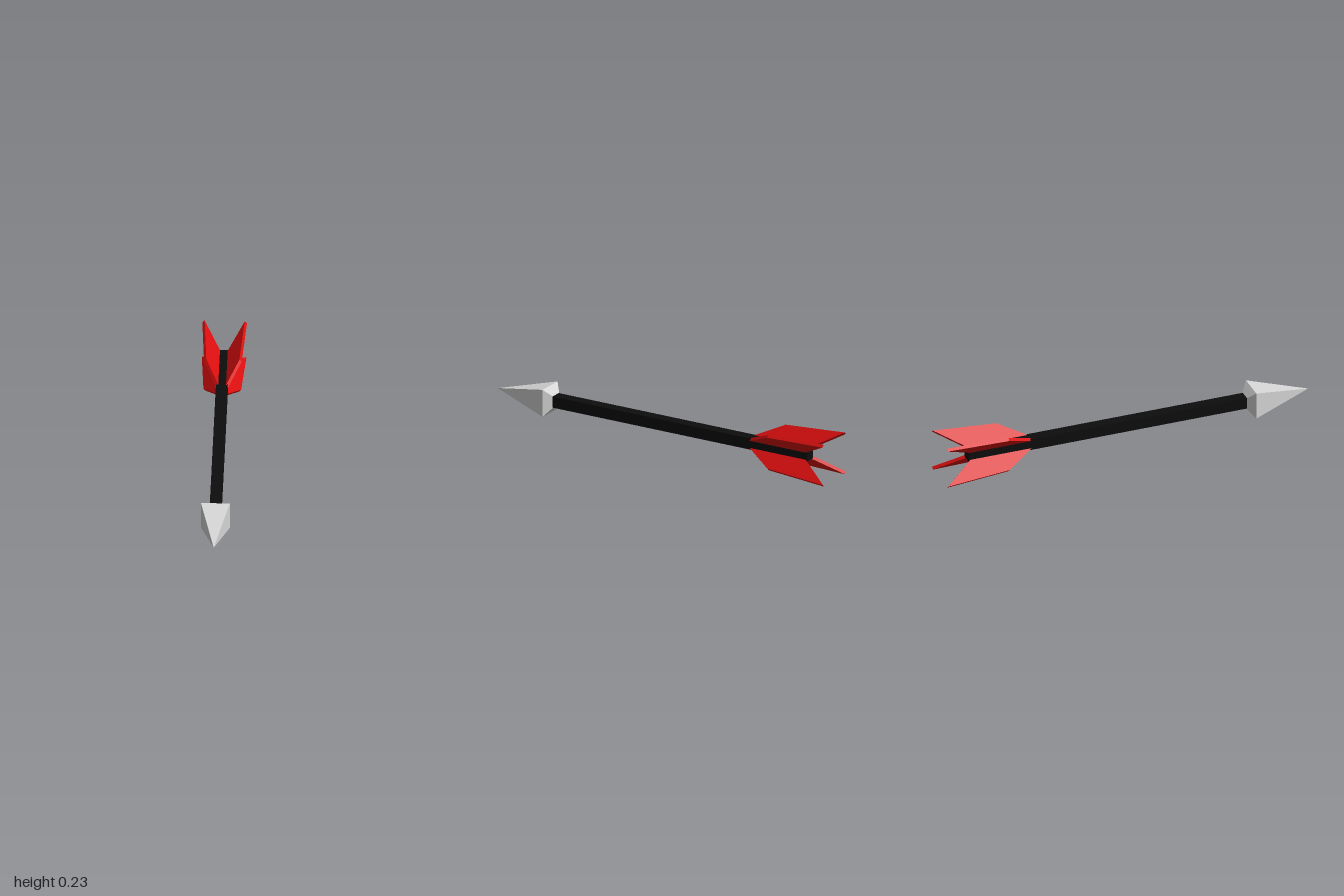
import * as THREE from 'three';

const AXIS_Y = 0.115;

function material(name, color) {
  const m = new THREE.MeshStandardMaterial({ color, flatShading: true });
  m.name = name;
  return m;
}

// Square frustum along z; sizes are half-widths of the square ends
function squareTaper(frontHalf, backHalf, zBack, zFront) {
  const g = new THREE.CylinderGeometry(
    frontHalf * Math.SQRT2, backHalf * Math.SQRT2, zFront - zBack, 4, 1, frontHalf === 0 || backHalf < frontHalf);
  g.rotateY(Math.PI / 4);
  g.rotateX(Math.PI / 2);
  g.translate(0, 0, (zFront + zBack) / 2);
  return g;
}

export function createModel() {
  const model = new THREE.Group();
  model.name = 'arrow';
  const black = material('black shaft', 0x0d0d0d);
  const red = material('red feather', 0xdb0f0f);
  const steel = material('light grey steel', 0xd6d6d6);

  const add = (parent, name, geometry, mat) => {
    const mesh = new THREE.Mesh(geometry, mat);
    mesh.name = name;
    parent.add(mesh);
    return mesh;
  };

  const body = new THREE.Group();
  body.name = 'arrowBody';
  body.position.y = AXIS_Y;
  model.add(body);

  // Square shaft
  const shaft = new THREE.BoxGeometry(0.06, 0.06, 1.525);
  shaft.translate(0, 0, -0.0925);
  add(body, 'shaft', shaft, black);

  // Pyramid point with a short tapered collar behind it
  const head = new THREE.Group();
  head.name = 'arrowhead';
  body.add(head);
  add(head, 'point', squareTaper(0, 0.073, 0.69, 1), steel);
  add(head, 'collar', squareTaper(0.073, 0.033, 0.656, 0.69), steel);
  const collarBack = new THREE.PlaneGeometry(0.066, 0.066);
  collarBack.rotateY(Math.PI);
  collarBack.translate(0, 0, 0.656);
  add(head, 'collarBack', collarBack, steel);

  // Four swept fins on the shaft corners: profile as (radius, -z)
  const profile = new THREE.Shape([
    [0.036, 0.515], [0.127, 0.66], [0.152, 1], [0.036, 0.848],
  ].map(([r, z]) => new THREE.Vector2(r, z)));
  const thickness = 0.0165;
  const fin = new THREE.ExtrudeGeometry(profile, { depth: thickness, bevelEnabled: false });
  fin.translate(0, 0, -thickness / 2 + 0.002);
  fin.rotateX(-Math.PI / 2);
  fin.scale(1, -1, 1);
  fin.rotateX(0);
  // Undo the mirrored winding
  const pos = fin.attributes.position;
  for (let i = 0; i < pos.count; i += 3) {
    const a = new THREE.Vector3().fromBufferAttribute(pos, i + 1);
    const b = new THREE.Vector3().fromBufferAttribute(pos, i + 2);
    pos.setXYZ(i + 1, b.x, b.y, b.z);
    pos.setXYZ(i + 2, a.x, a.y, a.z);
  }
  fin.computeVertexNormals();
  for (let i = 0; i < 4; i++) {
    add(body, 'fin' + (i + 1), fin, red).rotation.z = Math.PI / 4 + i * Math.PI / 2;
  }
  return model;
}
